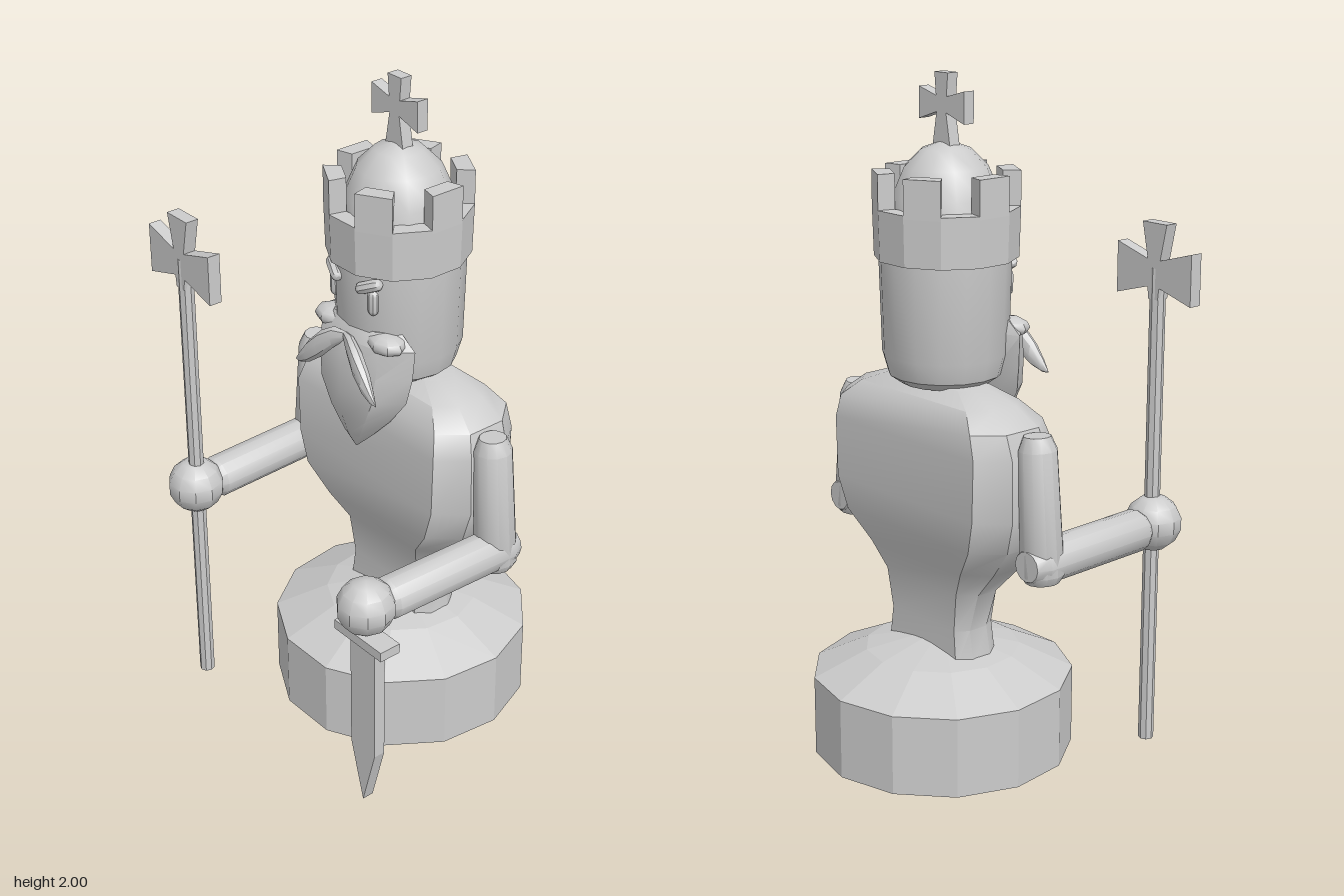
import * as THREE from 'three';
import { toCreasedNormals } from 'three/addons/utils/BufferGeometryUtils.js';

const V = (x, y, z) => new THREE.Vector3(x, y, z);
const CX = 0.012, CZ = -0.075; // body axis

// Skin closed rings of points, right-handed about the direction of travel, with end caps
function loft(rings) {
  const n = rings[0].length, pos = [], idx = [];
  rings.forEach(r => r.forEach(p => pos.push(...p)));
  for (let i = 0; i < rings.length - 1; i++)
    for (let j = 0; j < n; j++) {
      const k = (j + 1) % n, a = i * n + j, b = i * n + k;
      idx.push(a, b, b + n, a, b + n, a + n);
    }
  const cap = (ring, base, top) => {
    const c = [0, 1, 2].map(d => ring.reduce((s, p) => s + p[d], 0) / n);
    const ci = pos.length / 3;
    pos.push(...c);
    for (let j = 0; j < n; j++) {
      const k = (j + 1) % n;
      idx.push(ci, base + (top ? j : k), base + (top ? k : j));
    }
  };
  cap(rings[0], 0, false);
  cap(rings[rings.length - 1], (rings.length - 1) * n, true);
  const g = new THREE.BufferGeometry();
  g.setAttribute('position', new THREE.Float32BufferAttribute(pos, 3));
  g.setIndex(idx);
  return g;
}

const lathe = (pts, sides, start = 0) =>
  new THREE.LatheGeometry(pts.map(p => new THREE.Vector2(...p)), sides, start);

// Flat outline given thickness along z, centred on z = 0
function slab(pts, depth) {
  const g = new THREE.ExtrudeGeometry(new THREE.Shape(pts.map(p => new THREE.Vector2(...p))),
    { depth, bevelEnabled: false });
  return g.translate(0, 0, -depth / 2);
}

// Chamfered limb running from a to b
function limb(a, b, ra, rb) {
  const d = b.clone().sub(a), l = d.length();
  const g = lathe([[0, 0], [ra * 0.75, 0], [ra, 0.025], [rb, l - 0.04], [rb * 0.7, l], [0, l]], 12);
  g.applyQuaternion(new THREE.Quaternion().setFromUnitVectors(V(0, 1, 0), d.normalize()));
  return g.translate(a.x, a.y, a.z);
}

export function createModel() {
  const model = new THREE.Group();
  const smooth = new THREE.MeshStandardMaterial({ color: 0xcccccc });
  const flat = new THREE.MeshStandardMaterial({ color: 0xcccccc, flatShading: true });
  const add = (name, geo, x = 0, y = 0, z = 0, faceted = false, parent = model) => {
    const m = new THREE.Mesh(faceted ? geo : toCreasedNormals(geo, 0.6), faceted ? flat : smooth);
    m.name = name;
    m.position.set(x, y, z);
    parent.add(m);
    return m;
  };

  // Thirteen-sided base with a shallow domed top
  add('base', lathe([[0, 0], [0.388, 0], [0.388, 0.24], [0.23, 0.315], [0, 0.365]], 13, Math.PI),
    CX, 0, -0.09, true);

  // Torso: [height, panel half width, full half width, front z, back z]
  const torso = [
    [0.3, 0.15, 0.18, -0.015, -0.168],
    [0.41, 0.138, 0.162, -0.02, -0.165],
    [0.53, 0.155, 0.2, -0.012, -0.172],
    [0.61, 0.2, 0.27, 0.03, -0.195],
    [0.7, 0.27, 0.345, 0.058, -0.228],
    [0.8, 0.3, 0.375, 0.06, -0.24],
    [0.98, 0.305, 0.372, 0.06, -0.24],
    [1.05, 0.285, 0.35, 0.04, -0.235],
    [1.1, 0.23, 0.28, 0.0, -0.2],
    [1.135, 0.15, 0.18, -0.04, -0.16],
  ].map(([y, w, m, f, b]) => {
    const c = (f - b) * 0.28;
    return [[-w, f], [w, f], [m, f - c], [m, b + c], [w, b], [-w, b], [-m, b + c], [-m, f - c]]
      .map(([x, z]) => [x, y, z]);
  });
  add('torso', loft(torso), CX);

  // Head
  add('head', lathe([[0, 1.12], [0.13, 1.125], [0.165, 1.15], [0.182, 1.21], [0.19, 1.5], [0, 1.5]], 16),
    CX, 0, CZ);

  // Crown: ring, six battlements, dome and finial cross
  const crown = new THREE.Group();
  crown.name = 'crown';
  crown.position.set(CX, 0, CZ + 0.005);
  model.add(crown);
  const step = Math.PI / 6, R = 0.21, r = 0.158;
  add('crownRing', lathe([[0, 1.485], [0.206, 1.485], [R, 1.63], [r, 1.63], [r, 1.58]], 12, step / 2),
    0, 0, 0, true, crown);
  for (let i = 0; i < 6; i++) {
    const a = (i * 2 + 1) * step;
    const corner = (rad, s, y) => [rad * Math.sin(a + s * step / 2), y, rad * Math.cos(a + s * step / 2)];
    add('battlement', loft([1.62, 1.73].map(y =>
      [corner(R, -1, y), corner(R, 1, y), corner(r, 1, y), corner(r, -1, y)])), 0, 0, 0, true, crown);
  }
  add('crownDome', lathe([[0.165, 1.58], [0.155, 1.66], [0.12, 1.74], [0.07, 1.79], [0, 1.815]], 12),
    0, 0, 0, false, crown);
  const halfCross = [[0.038, 1.79], [0.02, 1.89], [0.095, 1.865], [0.095, 1.955], [0.022, 1.935], [0.028, 2]];
  add('finialCross', slab([...halfCross, ...halfCross.map(([x, y]) => [-x, y]).reverse()], 0.036),
    0, 0, 0, true, crown);

  // Beard: [height, half width, front z, back z], front rounded
  const beard = [
    [1.31, 0.14, 0.105, 0.02], [1.27, 0.195, 0.13, 0.01], [1.18, 0.188, 0.145, 0.01],
    [1.1, 0.172, 0.148, 0.02], [1.02, 0.115, 0.138, 0.035], [0.95, 0.052, 0.115, 0.06],
    [0.9, 0.002, 0.088, 0.084],
  ].reverse().map(([y, w, f, b]) => {
    const s = f - b;
    return [[-w, b + s * 0.2], [-w * 0.65, b + s * 0.8], [0, f], [w * 0.65, b + s * 0.8],
      [w, b + s * 0.2], [w * 0.7, b], [-w * 0.7, b]].map(([x, z]) => [x, y, z]);
  });
  add('beard', loft(beard), CX);

  for (const s of [1, -1]) {
    // Drooping moustache half: [x, y, z, radius]
    const rings = [
      [0, 1.275, 0.125, 0.012], [0.035, 1.262, 0.135, 0.026], [0.08, 1.225, 0.146, 0.034],
      [0.125, 1.185, 0.154, 0.029], [0.158, 1.155, 0.16, 0.015], [0.178, 1.14, 0.162, 0.002],
    ].map(([x, y, z, q]) => Array.from({ length: 8 }, (_, j) => {
      const t = j * Math.PI / 4;
      return [s * x, y + q * 1.25 * Math.cos(t), z + s * q * 0.7 * Math.sin(t)];
    }));
    add('moustache', loft(rings), CX);

    // Cheek, eye and slanted brow
    const cheek = add('cheek', new THREE.SphereGeometry(0.05, 8, 6), CX + s * 0.115, 1.28, 0.07);
    cheek.scale.set(1.3, 0.6, 1);
    add('eye', new THREE.CapsuleGeometry(0.016, 0.045, 3, 8), CX + s * 0.082, 1.4, 0.09);
    const brow = add('brow', new THREE.CapsuleGeometry(0.018, 0.05, 3, 8), CX + s * 0.075, 1.45, 0.1);
    brow.rotation.set(0, s * 0.4, s * (0.4 - Math.PI / 2));

    // Arm bent forward at the elbow, with a round hand
    const x = CX + s * 0.42;
    add('upperArm', limb(V(x, 0.625, -0.083), V(CX + s * 0.393, 1.045, -0.083), 0.064, 0.056));
    add('forearm', limb(V(CX + s * 0.402, 0.683, 0.33), V(x, 0.683, -0.145), 0.063, 0.063));
    add('hand', new THREE.SphereGeometry(0.085, 10, 7), CX + s * 0.4, 0.69, 0.383);
  }

  // Staff with a flared head, in the right hand
  const sx = -0.382;
  add('staff', new THREE.CylinderGeometry(0.023, 0.023, 1.45, 8), sx, 0.725, 0.383);
  const halfHead = [[0.018, 1.36], [0.022, 1.395], [0.142, 1.36], [0.142, 1.51], [0.024, 1.475], [0.046, 1.58]];
  add('staffHead', slab([...halfHead, ...halfHead.map(([x, y]) => [-x, y]).reverse()], 0.04),
    sx, 0, 0.383, true);

  // Sword pointing down, in the left hand
  add('swordGuard', new THREE.BoxGeometry(0.2, 0.03, 0.068), 0.418, 0.592, 0.385, true);
  add('swordBlade', slab([[0, 0.01], [0.052, 0.2], [0.052, 0.59], [-0.052, 0.59], [-0.052, 0.2]], 0.036),
    0.42, 0, 0.385, true);

  return model;
}
